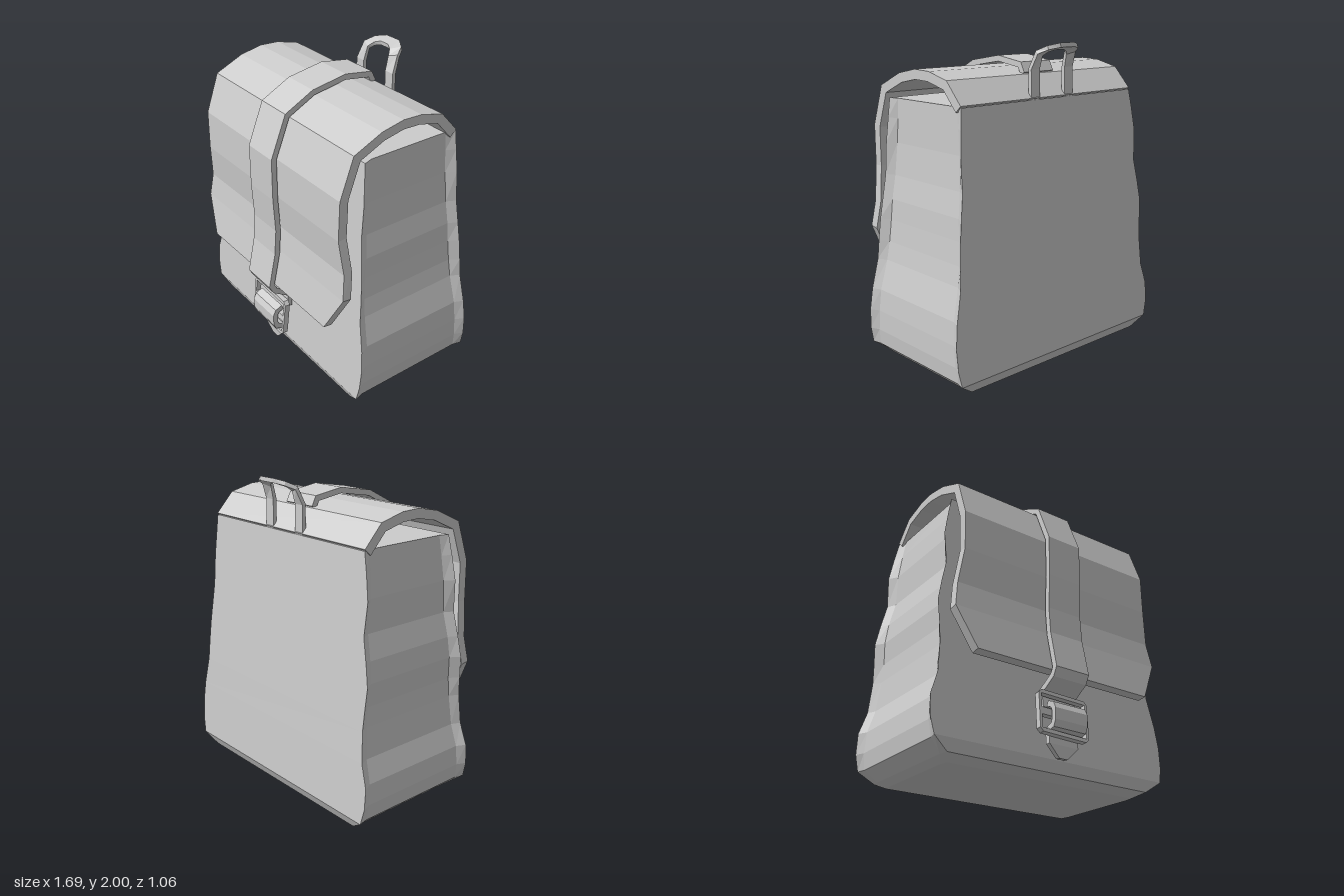
import * as THREE from 'three';

const material = new THREE.MeshStandardMaterial({ color: 0xcccccc, flatShading: true });

// Joins equal-sized cross-sections (arrays of [x, y, z]) and caps both ends.
function loft(name, rings) {
  const n = rings[0].length, pos = [];
  const tri = (a, b, c) => pos.push(...a, ...b, ...c);
  for (let i = 0; i < rings.length - 1; i++) {
    for (let j = 0; j < n; j++) {
      const k = (j + 1) % n;
      const a = rings[i][j], b = rings[i][k], c = rings[i + 1][k], d = rings[i + 1][j];
      tri(a, b, c);
      tri(a, c, d);
    }
  }
  const cap = (ring, flip) => {
    const mid = [0, 1, 2].map(k => ring.reduce((s, p) => s + p[k], 0) / n);
    ring.forEach((p, j) => {
      const q = ring[(j + 1) % n];
      flip ? tri(mid, q, p) : tri(mid, p, q);
    });
  };
  cap(rings[0], true);
  cap(rings[rings.length - 1], false);
  const g = new THREE.BufferGeometry();
  g.setAttribute('position', new THREE.Float32BufferAttribute(pos, 3));
  g.computeVertexNormals();
  const mesh = new THREE.Mesh(g, material);
  mesh.name = name;
  return mesh;
}

// Thick band: path rows are [z, y, halfWidth]; thickness grows inwards from the path.
function band(name, path, thickness) {
  const rings = path.map(([z, y, w], i) => {
    const normal = (a, b) => new THREE.Vector2(b[1] - a[1], a[0] - b[0]).normalize();
    const before = normal(path[Math.max(i - 1, 0)], path[Math.max(i, 1)]);
    const after = normal(path[Math.min(i, path.length - 2)], path[Math.min(i + 1, path.length - 1)]);
    const m = before.clone().add(after).normalize();
    m.multiplyScalar(thickness / Math.max(m.dot(before), 0.6));
    return [[w, y, z], [-w, y, z], [-w, y + m.y, z + m.x], [w, y + m.y, z + m.x]];
  });
  return loft(name, rings);
}

// Tapered sack with wavy, slightly sunken sides: [y, left edge, right edge, inset].
function body() {
  const rows = [
    [0.1, 0.82, 0.82, 0.015], [0.2, 0.84, 0.845, 0.025], [0.33, 0.845, 0.845, 0.03],
    [0.47, 0.83, 0.8, 0.025], [0.66, 0.79, 0.787, 0.03], [0.78, 0.783, 0.793, 0.04],
    [0.92, 0.772, 0.803, 0.04], [1.05, 0.755, 0.78, 0.03], [1.2, 0.735, 0.747, 0.03],
    [1.4, 0.732, 0.76, 0.04], [1.55, 0.72, 0.735, 0.03], [1.67, 0.71, 0.71, 0.02],
  ];
  const ring = (y, l, r, inset, zf, zb) => [
    [-r, y, zf], [l, y, zf], [l - inset, y, zf - 0.06], [l - inset, y, zb + 0.06],
    [l, y, zb], [-r, y, zb], [-r + inset, y, zb + 0.06], [-r + inset, y, zf - 0.06],
  ];
  const rings = [
    ring(0, 0.67, 0.67, -0.01, 0.26, -0.43),
    ring(0.03, 0.72, 0.72, -0.01, 0.34, -0.49),
    ...rows.map(([y, l, r, i]) => ring(y, l, r, i, 0.37 - (y - 0.1) * 0.07, -0.525 + (y - 0.1) * 0.073)),
  ];
  return loft('body', rings);
}

// Carrying loop: outer and inner edges of a bent band, mirrored across the middle.
function handle() {
  const half = [
    [[0.175, 1.66, -0.382], [0.105, 1.66, -0.382], [0, 0, -0.025]],
    [[0.175, 1.85, -0.38], [0.105, 1.85, -0.38], [0, -0.004, -0.024]],
    [[0.16, 1.955, -0.425], [0.1, 1.94, -0.405], [0, -0.018, -0.016]],
    [[0.125, 1.985, -0.485], [0.075, 1.968, -0.435], [0, -0.024, -0.008]],
    [[0.06, 2, -0.525], [0.035, 1.982, -0.455], [0, -0.026, -0.003]],
  ];
  const add = (a, b) => a.map((v, i) => v + b[i]);
  const flip = ([x, y, z]) => [-x, y, z];
  const right = half.map(([o, i, t]) => [i, o, add(o, t), add(i, t)]);
  const left = right.map(r => r.map(flip)).reverse();
  return loft('handle', [...right, ...left]);
}

// Chamfered frame with two openings either side of a crossbar.
function buckle() {
  const w = 0.178, h = 0.132, c = 0.022;
  const shape = new THREE.Shape([
    [-w + c, -h], [w - c, -h], [w, -h + c], [w, h - c],
    [w - c, h], [-w + c, h], [-w, h - c], [-w, -h + c],
  ].map(p => new THREE.Vector2(...p)));
  for (const [lo, hi] of [[-0.108, -0.025], [0.02, 0.108]]) {
    shape.holes.push(new THREE.Path([[-0.16, lo], [-0.16, hi], [0.16, hi], [0.16, lo]]
      .map(p => new THREE.Vector2(...p))));
  }
  const g = new THREE.ExtrudeGeometry(shape, { depth: 0.036, bevelEnabled: false });
  g.translate(0, 0, -0.018);
  const mesh = new THREE.Mesh(g, material);
  mesh.name = 'buckle';
  mesh.position.set(-0.013, 0.342, 0.437);
  mesh.rotation.set(-0.09, 0, -0.03);
  return mesh;
}

export function createModel() {
  const group = new THREE.Group();
  group.name = 'backpack';
  group.add(body(), handle(), buckle());

  // Cover flap, from the back edge over the top and down the front
  group.add(band('flap', [
    [-0.41, 1.68, 0.712], [-0.29, 1.81, 0.712], [-0.13, 1.85, 0.712], [0, 1.855, 0.712],
    [0.15, 1.825, 0.712], [0.34, 1.74, 0.712], [0.43, 1.49, 0.712], [0.435, 1.235, 0.708],
    [0.414, 1.01, 0.737], [0.435, 0.85, 0.758], [0.478, 0.6, 0.63],
  ], 0.058));

  // Closing strap over the flap, tucked in behind the buckle
  const w = 0.122;
  group.add(band('strap', [
    [-0.29, 1.82, w], [-0.26, 1.88, w], [-0.06, 1.91, w], [0.18, 1.87, w], [0.375, 1.77, w],
    [0.48, 1.505, w], [0.48, 1.235, w], [0.467, 1.01, w], [0.48, 0.84, w], [0.53, 0.605, w],
    [0.5, 0.55, w], [0.39, 0.48, w], [0.4, 0.395, w],
  ], 0.036));

  // Strap loop bulging over the crossbar
  group.add(band('strapLoop', [
    [0.44, 0.42, 0.118], [0.488, 0.4, 0.118], [0.508, 0.36, 0.118],
    [0.506, 0.29, 0.118], [0.488, 0.25, 0.118], [0.44, 0.235, 0.118],
  ], 0.034));

  // Pointed strap end below the buckle
  group.add(band('strapTip', [
    [0.425, 0.27, 0.105], [0.432, 0.17, 0.105], [0.425, 0.095, 0.03],
  ], 0.032));
  return group;
}
